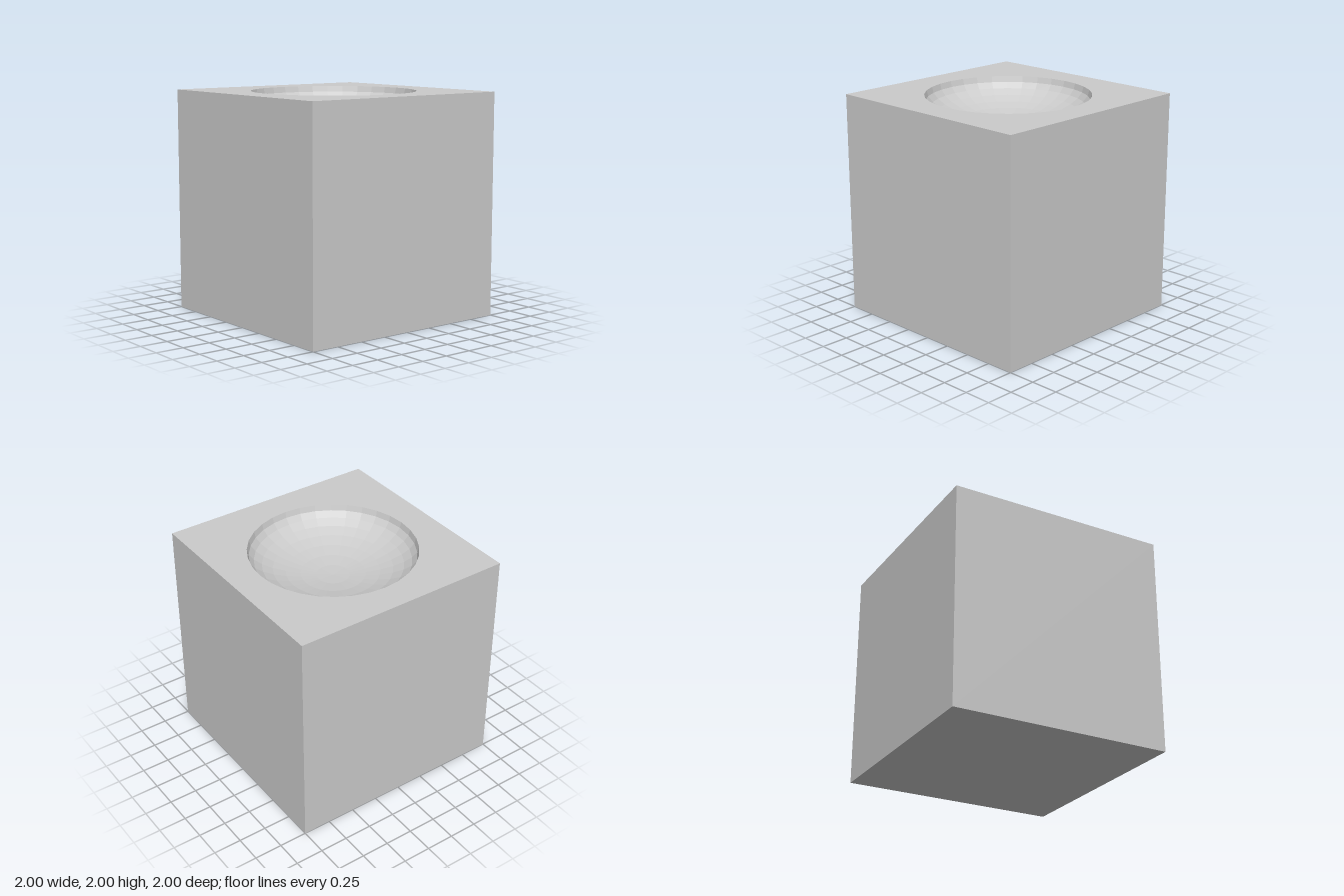
import * as THREE from 'three';

const SIZE = 2, HALF = SIZE / 2;
const RADIUS = 0.734, DEPTH = 0.27, SIDES = 32;

export function createModel() {
  const group = new THREE.Group();
  const material = new THREE.MeshStandardMaterial({ color: 0xcccccc, flatShading: true });
  const add = (name, geometry, mat = material) => {
    const mesh = new THREE.Mesh(geometry, mat);
    mesh.name = name;
    group.add(mesh);
    return mesh;
  };

  // Four upright walls
  ['frontWall', 'leftWall', 'backWall', 'rightWall'].forEach((name, i) => {
    const wall = new THREE.PlaneGeometry(SIZE, SIZE);
    wall.translate(0, HALF, HALF).rotateY(i * Math.PI / 2);
    add(name, wall);
  });

  // Base, facing down
  add('base', new THREE.PlaneGeometry(SIZE, SIZE).rotateX(Math.PI / 2));

  // Top face with a round opening
  const top = new THREE.Shape([
    new THREE.Vector2(-HALF, -HALF), new THREE.Vector2(HALF, -HALF),
    new THREE.Vector2(HALF, HALF), new THREE.Vector2(-HALF, HALF),
  ]);
  const rim = Array.from({ length: SIDES }, (_, i) => {
    const a = -i / SIDES * Math.PI * 2;
    return new THREE.Vector2(Math.cos(a) * RADIUS, Math.sin(a) * RADIUS);
  });
  top.holes.push(new THREE.Path(rim));
  add('topFace', new THREE.ShapeGeometry(top).rotateX(-Math.PI / 2).translate(0, SIZE, 0));

  // Shallow bowl: lower half of a flattened sphere, seen from inside
  const bowl = new THREE.SphereGeometry(RADIUS, SIDES, 8, 0, Math.PI * 2, Math.PI / 2, Math.PI / 2);
  bowl.scale(1, DEPTH / RADIUS, 1).translate(0, SIZE, 0);
  const inside = material.clone();
  inside.side = THREE.DoubleSide;
  add('bowl', bowl, inside);

  return group;
}
